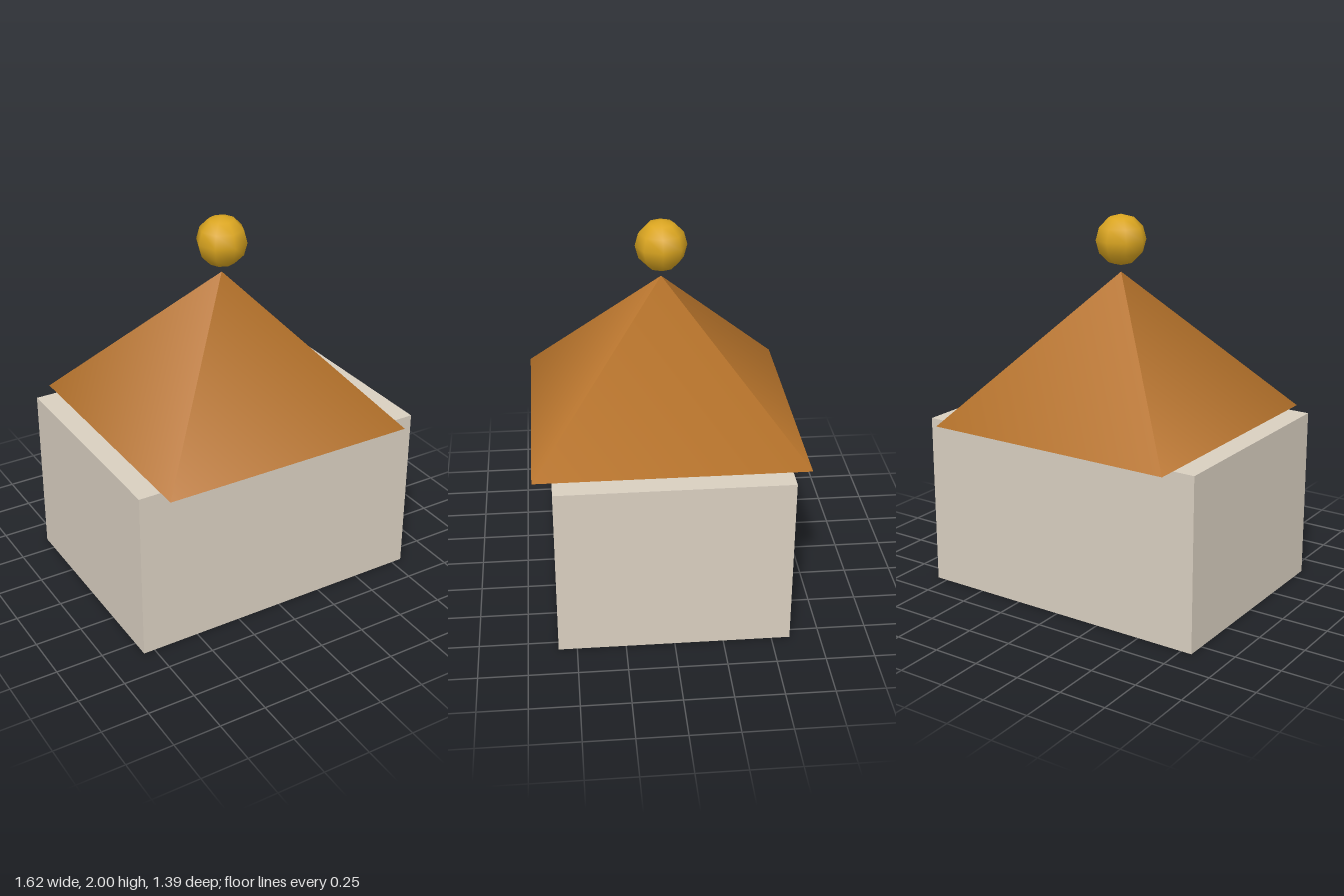
import * as THREE from 'three';

export function createModel() {
  const model = new THREE.Group();
  model.name = 'pavilion';

  const add = (name, geometry, color, y) => {
    const mesh = new THREE.Mesh(geometry, new THREE.MeshStandardMaterial({ color }));
    mesh.name = name;
    mesh.position.y = y;
    model.add(mesh);
    return mesh;
  };

  const wallHeight = 0.92;
  const roofHeight = 0.78;

  // Rectangular hall
  add('walls', new THREE.BoxGeometry(1.62, wallHeight, 1.19), 0xd9cfc0, wallHeight / 2);

  // Square pyramid roof, turned so its eaves run parallel to the walls
  const roof = add('roof', new THREE.ConeGeometry(0.98, roofHeight, 4), 0xb5722a, wallHeight + roofHeight / 2);
  roof.rotation.y = Math.PI / 4;

  // Golden ball floating just above the peak
  add('finial', new THREE.SphereGeometry(0.133, 8, 6), 0xdaa520, 1.867);

  return model;
}
